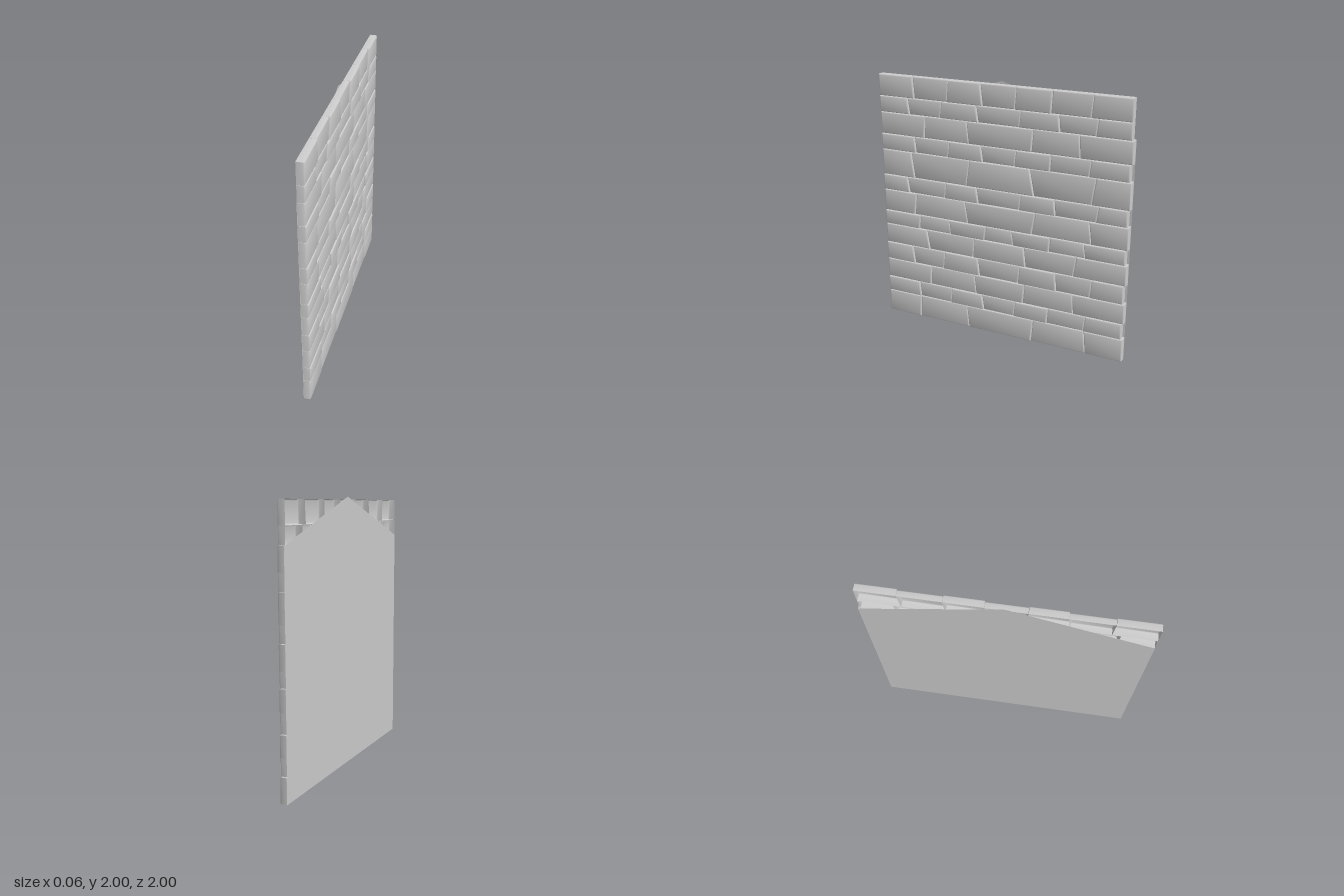
import * as THREE from 'three';
import { toCreasedNormals } from 'three/addons/utils/BufferGeometryUtils.js';

const BACK = -0.03;
const material = new THREE.MeshStandardMaterial({ color: 0xcccccc, side: THREE.DoubleSide });

// Joint positions along z, as [top, bottom] of each slanted joint
const SEVEN_A = [[0.71, 0.7], [0.41, 0.425], [0.15, 0.135], [-0.135, -0.12], [-0.405, -0.395], [-0.705, -0.69]];
const SEVEN_B = [[0.76, 0.745], [0.47, 0.485], [0.185, 0.17], [-0.17, -0.155], [-0.455, -0.465], [-0.745, -0.73]];

// Courses from the ground up: top height and joints
const COURSES = [
  [0.185, [[0.7, 0.71], [0.283, 0.267], [-0.283, -0.267], [-0.695, -0.71]]],
  [0.31, SEVEN_A],
  [0.47, [[0.595, 0.605], [0.215, 0.2], [-0.21, -0.195], [-0.595, -0.605]]],
  [0.615, SEVEN_B],
  [0.775, [[0.63, 0.605], [0.21, 0.225], [-0.2, -0.215], [-0.62, -0.595]]],
  [0.89, [[0.68, 0.695], [0.425, 0.415], [0.11, 0.13], [-0.1, -0.115], [-0.41, -0.4], [-0.67, -0.685]]],
  [1.065, [[0.71, 0.73], [0.29, 0.265], [-0.29, -0.26], [-0.705, -0.725]]],
  [1.19, [[0.785, 0.77], [0.445, 0.46], [0.19, 0.175], [-0.175, -0.16], [-0.435, -0.445], [-0.775, -0.755]]],
  [1.395, [[0.745, 0.72], [0.245, 0.275], [-0.24, -0.275], [-0.745, -0.715]]],
  [1.52, SEVEN_A],
  [1.69, [[0.61, 0.625], [0.265, 0.25], [-0.265, -0.25], [-0.61, -0.62]]],
  [1.815, SEVEN_B],
  [1.98, SEVEN_A],
];

// Open-backed stone: rings of four corners stepping forward, with a rounded front edge
function stoneGeometry(left, right, y0, y1, front) {
  const rings = [[BACK + 0.002, 0.001], [front - 0.01, 0.001], [front - 0.003, 0.004], [front, 0.011]];
  const positions = [];
  const index = [];
  for (const [x, d] of rings) {
    positions.push(
      x, y1 - d, left[0] - d,
      x, y0 + d, left[1] - d,
      x, y0 + d, right[1] + d,
      x, y1 - d, right[0] + d,
    );
  }
  for (let r = 0; r < rings.length - 1; r++) {
    for (let i = 0; i < 4; i++) {
      const a = r * 4 + i;
      const b = r * 4 + (i + 1) % 4;
      index.push(a, b, b + 4, a, b + 4, a + 4);
    }
  }
  const cap = (rings.length - 1) * 4;
  index.push(cap, cap + 1, cap + 2, cap, cap + 2, cap + 3);
  const geometry = new THREE.BufferGeometry();
  geometry.setAttribute('position', new THREE.Float32BufferAttribute(positions, 3));
  geometry.setIndex(index);
  return toCreasedNormals(geometry, 0.9);
}

export function createModel() {
  const wall = new THREE.Group();
  wall.name = 'stoneWall';

  // Stone courses
  let y0 = 0;
  COURSES.forEach(([y1, joints], row) => {
    const course = new THREE.Group();
    course.name = `course${row + 1}`;
    const isSeven = joints.length === 6;
    const end = isSeven ? -0.985 : -1;
    const edges = [[1, 1], ...joints, [end, end]];
    for (let i = 0; i < edges.length - 1; i++) {
      // Every other stone sits a little deeper
      const front = i % 2 ? 0.019 : isSeven ? 0.027 : 0.023;
      const stone = new THREE.Mesh(stoneGeometry(edges[i], edges[i + 1], y0, y1, front), material);
      stone.name = `stone${i + 1}`;
      course.add(stone);
    }
    wall.add(course);
    y0 = y1;
  });

  // Gabled sheet behind the stones
  const gable = new THREE.Shape([[-1, 0], [1, 0], [1, 1.69], [0, 2], [-1, 1.69]].map(([z, y]) => new THREE.Vector2(z, y)));
  const backing = new THREE.Mesh(new THREE.ShapeGeometry(gable), material);
  backing.name = 'backingPanel';
  backing.rotation.y = -Math.PI / 2;
  backing.position.x = BACK;
  wall.add(backing);

  return wall;
}
